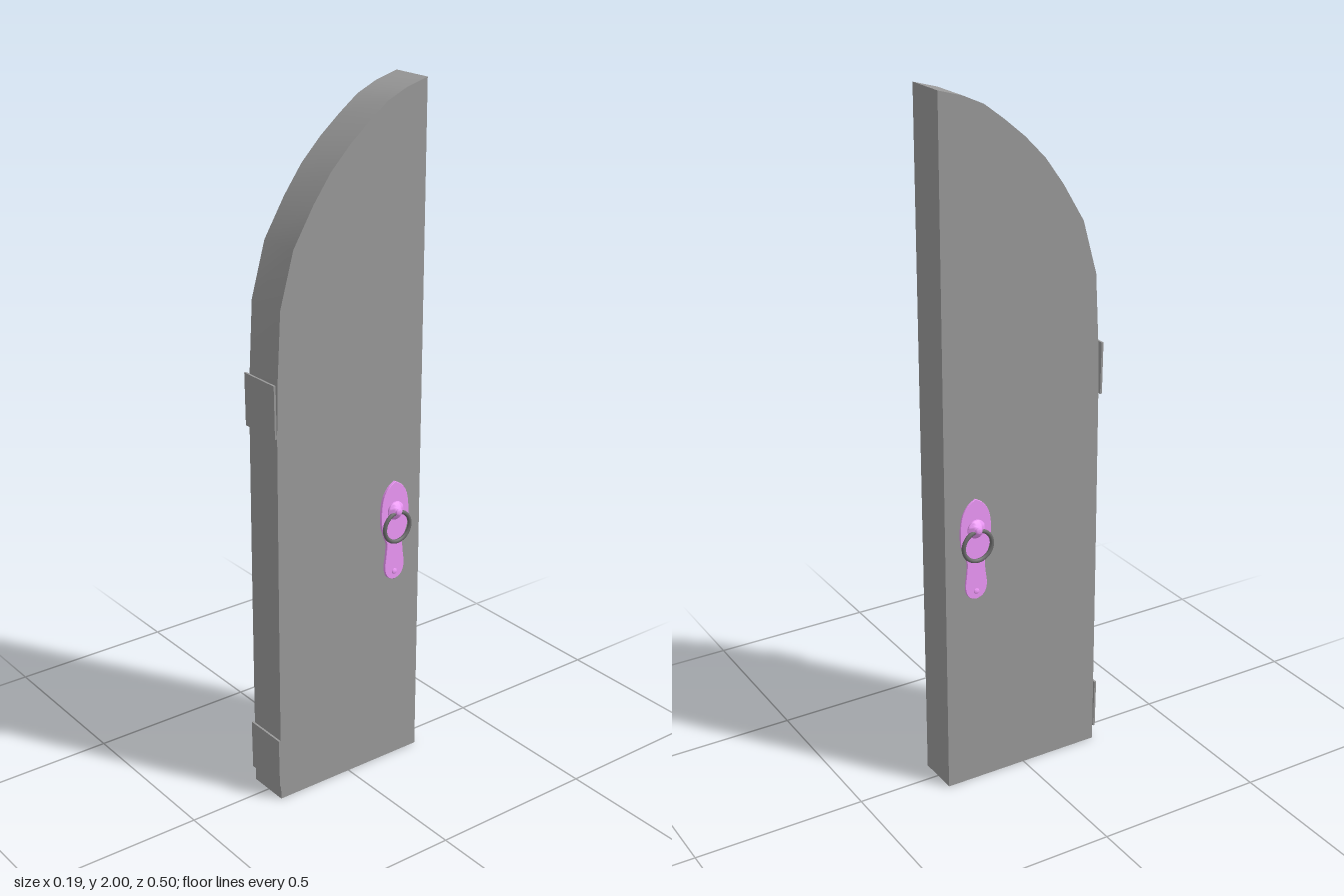
import * as THREE from 'three';
import { toCreasedNormals } from 'three/addons/utils/BufferGeometryUtils.js';

const grey = new THREE.MeshStandardMaterial({ color: 0x999999 });
const darkGrey = new THREE.MeshStandardMaterial({ color: 0x6c6c6c });
const violet = new THREE.MeshStandardMaterial({ color: 0xee98f8 });

function addMesh(parent, name, geometry, material) {
  const mesh = new THREE.Mesh(geometry, material);
  mesh.name = name;
  parent.add(mesh);
  return mesh;
}

// Extrudes a (z, y) outline along x, ending at xMax
function extrudeAlongX(shape, xMax, depth, bevel = 0) {
  const g = new THREE.ExtrudeGeometry(shape, {
    depth: depth - 2 * bevel, curveSegments: 24, bevelEnabled: bevel > 0,
    bevelThickness: bevel, bevelSize: bevel, bevelOffset: -bevel, bevelSegments: 1,
  });
  g.rotateY(-Math.PI / 2).translate(xMax - bevel, 0, 0);
  return toCreasedNormals(g, 0.6);
}

// Surface of revolution about the x axis, from [radius, x] points
function latheX(points, segments = 24) {
  const g = new THREE.LatheGeometry(points.map(([r, x]) => new THREE.Vector2(r, x)), segments);
  return toCreasedNormals(g.rotateZ(-Math.PI / 2), 0.6);
}

// Shaped plate, knob, pull ring and rivet for the +x side
function createHandle(name) {
  const handle = new THREE.Group();
  handle.name = name;

  const half = [[0.018, 0.591], [0.03, 0.606], [0.034, 0.63], [0.03, 0.665], [0.028, 0.70],
    [0.037, 0.725], [0.047, 0.76], [0.048, 0.805], [0.041, 0.845], [0.023, 0.873]];
  const outline = new THREE.Shape();
  outline.moveTo(0, 0.585);
  outline.splineThru([...half, [0, 0.888]].map(([z, y]) => new THREE.Vector2(z, y)));
  outline.splineThru([...half.map(([z, y]) => [-z, y]).reverse(), [0, 0.585]]
    .map(([z, y]) => new THREE.Vector2(z, y)));
  addMesh(handle, 'backPlate', extrudeAlongX(outline, 0.07, 0.013, 0.001), violet);

  const knob = addMesh(handle, 'knob', latheX([[0.027, 0.068], [0.027, 0.074], [0.023, 0.077],
    [0.016, 0.082], [0.011, 0.085], [0.01, 0.089], [0.006, 0.092], [0, 0.093]]), violet);
  knob.position.y = 0.8;

  const ring = addMesh(handle, 'pullRing', new THREE.TorusGeometry(0.0445, 0.006, 10, 40).rotateY(Math.PI / 2), darkGrey);
  ring.position.set(0.08, 0.752, 0);

  const rivet = addMesh(handle, 'rivet', latheX([[0.009, 0.069], [0.008, 0.072], [0.005, 0.074], [0, 0.075]], 14), violet);
  rivet.position.y = 0.609;
  return handle;
}

export function createModel() {
  const door = new THREE.Group();
  door.name = 'archedDoorLeaf';

  // Leaf: straight meeting edge at the back, half arch toward the front
  const leaf = new THREE.Shape();
  leaf.moveTo(-0.251, 0);
  leaf.lineTo(0.243, 0);
  for (const [z, y] of [[0.242, 0.6], [0.24, 1.1], [0.237, 1.25], [0.225, 1.46], [0.182, 1.612],
    [0.118, 1.718], [0.062, 1.795], [0, 1.858], [-0.06, 1.908], [-0.12, 1.953], [-0.18, 1.98], [-0.251, 2]]) {
    leaf.lineTo(z, y);
  }
  leaf.closePath();
  addMesh(door, 'doorLeaf', extrudeAlongX(leaf, 0.062, 0.127), grey);

  // Thin, slightly tilted hinge plates on the arched-side edge
  for (const [name, y] of [['upperHinge', 1.186], ['lowerHinge', 0.119]]) {
    const hinge = addMesh(door, name, new THREE.BoxGeometry(0.134, 0.15, 0.006), grey);
    hinge.position.set(-0.002, y, 0.247);
    hinge.rotation.x = 0.012;
  }

  // Handles on both faces
  for (const [name, turn] of [['leftHandle', 0], ['rightHandle', Math.PI]]) {
    const handle = createHandle(name);
    handle.position.z = -0.157;
    handle.rotation.y = turn;
    door.add(handle);
  }
  return door;
}
